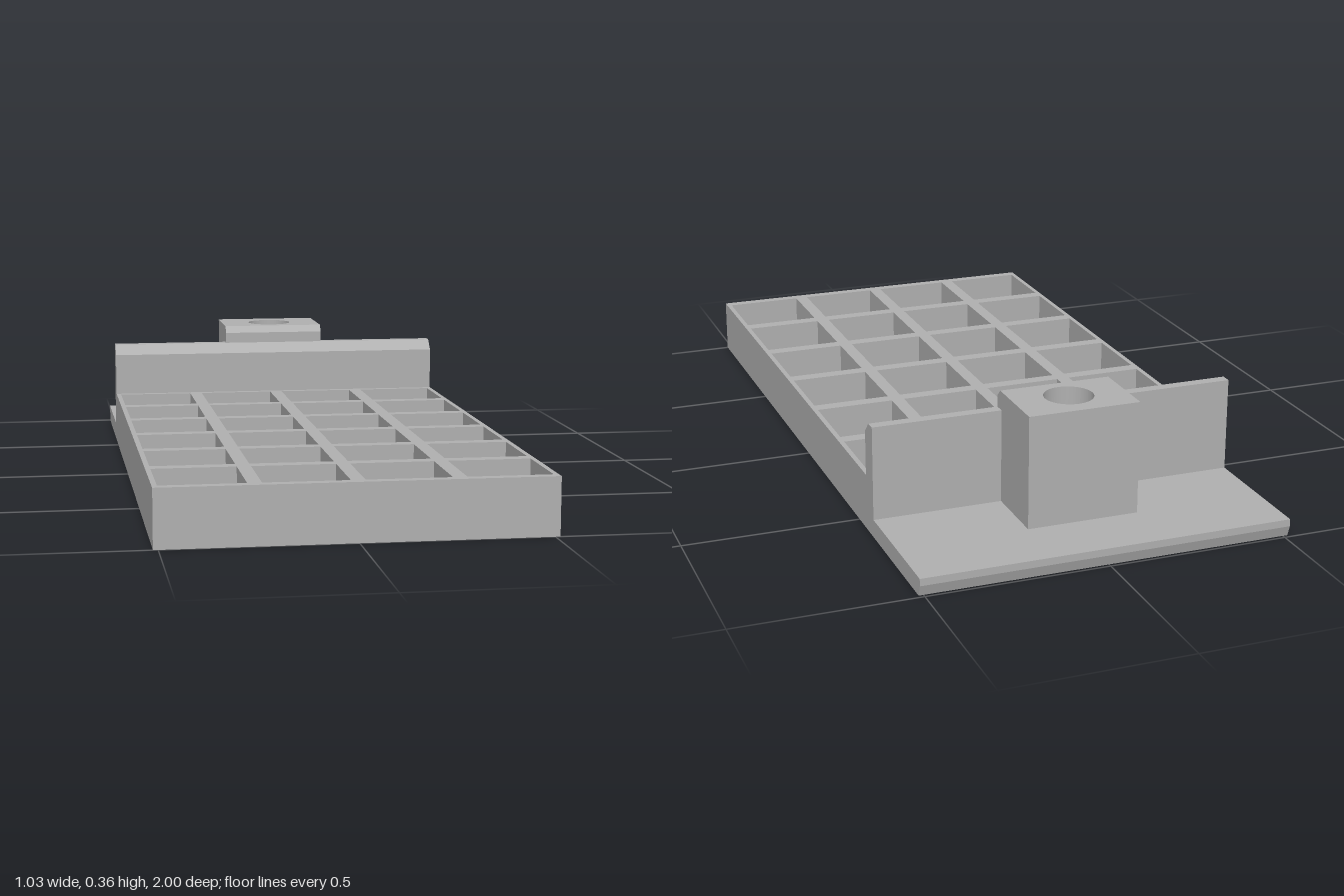
import * as THREE from 'three';

const HALF_WIDTH = 0.513;
const FLOOR = 0.05;

// Extrudes a (z, y) side profile along x, centred on x = 0.
function extrudeAcross(points, width) {
  const shape = new THREE.Shape(points.map(([z, y]) => new THREE.Vector2(z, y)));
  return new THREE.ExtrudeGeometry(shape, { depth: width, bevelEnabled: false })
    .rotateY(-Math.PI / 2)
    .translate(width / 2, 0, 0);
}

// Rectangle in plan; plan y is -z.
function planRect(Type, x0, x1, z0, z1) {
  return new Type([[x0, -z1], [x1, -z1], [x1, -z0], [x0, -z0]]
    .map(([x, y]) => new THREE.Vector2(x, y)));
}

// Extrudes a plan shape upwards from y0 to y1.
function extrudeUp(shape, y0, y1) {
  return new THREE.ExtrudeGeometry(shape, { depth: y1 - y0, bevelEnabled: false, curveSegments: 32 })
    .rotateX(-Math.PI / 2)
    .translate(0, y0, 0);
}

export function createModel() {
  const group = new THREE.Group();
  group.name = 'compartmentTray';
  const grey = new THREE.MeshStandardMaterial({ color: 0xb0b0b0 });
  grey.name = 'grey';

  const add = (name, geometry) => {
    const mesh = new THREE.Mesh(geometry, grey);
    mesh.name = name;
    group.add(mesh);
  };

  // Base plate with a slightly undercut rear edge
  add('basePlate', extrudeAcross(
    [[1, 0], [1, FLOOR], [-1, FLOOR], [-1, 0.03], [-0.99, 0]], HALF_WIDTH * 2));

  // Grid of 4 by 6 square pockets
  const grid = planRect(THREE.Shape, -HALF_WIDTH, HALF_WIDTH, -0.565, 1);
  const pitch = 0.259, half = 0.111;
  for (let col = 0; col < 4; col++) {
    for (let row = 0; row < 6; row++) {
      const x = (col - 1.5) * pitch;
      const z = -0.433 + row * pitch;
      grid.holes.push(planRect(THREE.Path, x - half, x + half, z - half, z + half));
    }
  }
  add('pocketGrid', extrudeUp(grid, FLOOR, 0.155));

  // Upright wall with a chamfered front top edge
  add('rearWall', extrudeAcross(
    [[-0.565, FLOOR], [-0.565, 0.28], [-0.595, 0.31], [-0.625, 0.31], [-0.625, FLOOR]],
    HALF_WIDTH * 2));

  // Post with a round socket
  const post = planRect(THREE.Shape, -0.155, 0.155, -0.82, -0.615);
  post.holes.push(new THREE.Path().absarc(0, 0.71, 0.067, 0, Math.PI * 2, true));
  add('socketPost', extrudeUp(post, FLOOR, 0.362));

  // Chamfered front lip of the post, resting on the wall
  add('postLip', extrudeAcross(
    [[-0.595, FLOOR], [-0.595, 0.342], [-0.615, 0.362], [-0.615, FLOOR]], 0.31));

  return group;
}
